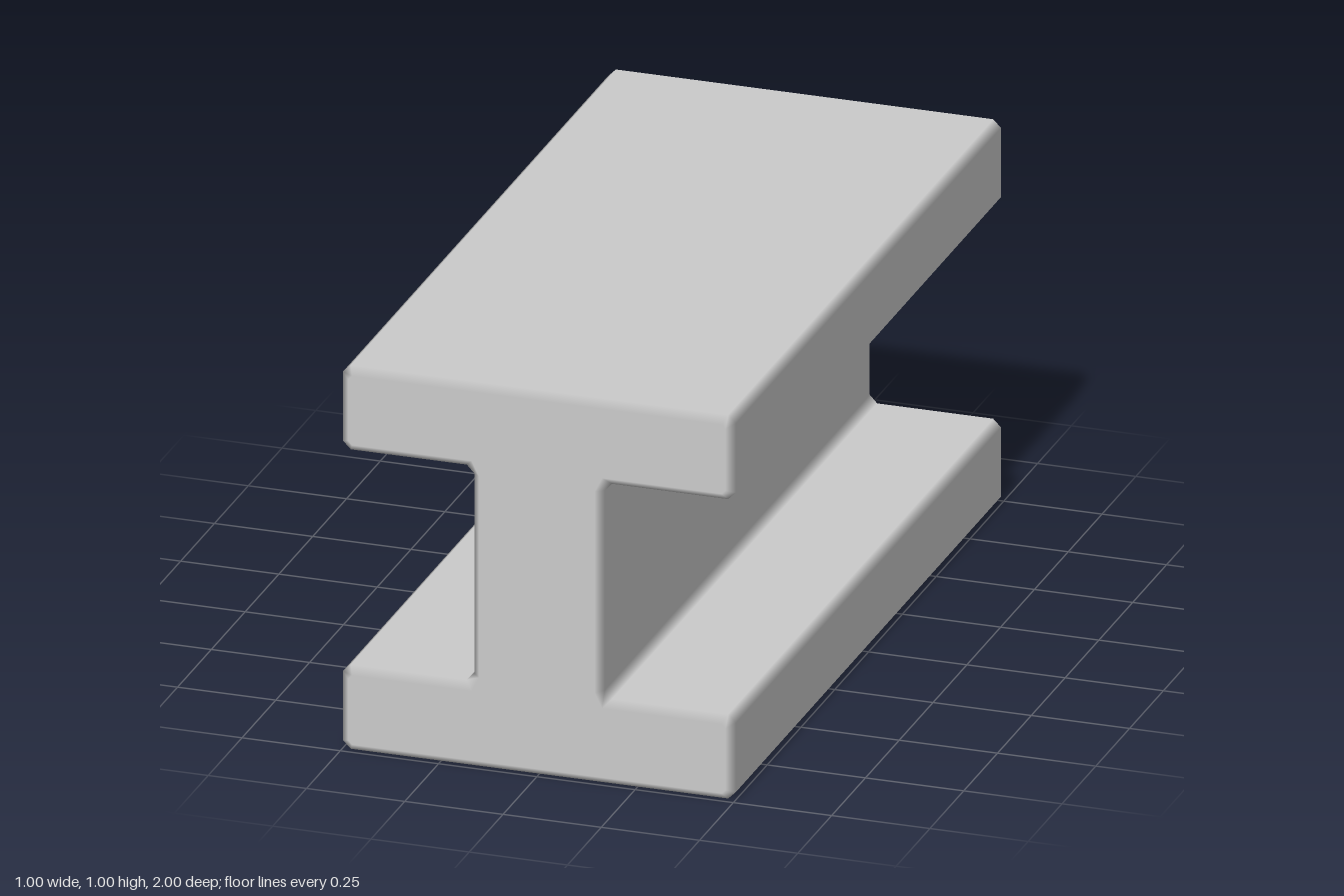
import * as THREE from 'three';

// Upper right quarter of the I profile, from the top edge round to the web:
// outline point, its point on the bevelled end face, normal of its flat side
const QUARTER = [
  { out: [0.48, 1.0], end: [0.47, 0.98], n: [0, 1] },
  { out: [0.5, 0.98], end: [0.48, 0.97], n: [1, 0] },
  { out: [0.5, 0.8], end: [0.48, 0.81], n: [1, 0] },
  { out: [0.48, 0.78], end: [0.47, 0.8], n: [0, -1] },
  { out: [0.185, 0.78], end: [0.166, 0.8], n: [0, -1] },
  { out: [0.166, 0.76], end: [0.147, 0.762], n: [1, 0] },
];

const flipY = ({ out, end, n }) => ({ out: [out[0], 1 - out[1]], end: [end[0], 1 - end[1]], n: [n[0], -n[1]] });
const flipX = ({ out, end, n }) => ({ out: [-out[0], out[1]], end: [-end[0], end[1]], n: [-n[0], n[1]] });

function beamGeometry(halfLength, bevel) {
  // Mirror the quarter into a closed counter-clockwise profile
  const right = [...QUARTER.map(flipY), ...[...QUARTER].reverse()];
  const profile = [...right, ...[...right].reverse().map(flipX)];
  const count = profile.length;
  const positions = [], normals = [], index = [];

  // Four rings: front face, front of sides, back of sides, back face
  const rings = [
    { z: halfLength, cap: 1 },
    { z: halfLength - bevel, cap: 0 },
    { z: bevel - halfLength, cap: 0 },
    { z: -halfLength, cap: -1 },
  ];
  for (const { z, cap } of rings) {
    for (const { out, end, n } of profile) {
      positions.push(...(cap ? end : out), z);
      normals.push(...(cap ? [0, 0, cap] : [...n, 0]));
    }
  }

  // Sides and end bevels; bevels blend between the flat faces' normals
  for (let r = 0; r < rings.length - 1; r++) {
    for (let i = 0; i < count; i++) {
      const j = (i + 1) % count;
      const a = r * count + i, b = a + count;
      const d = r * count + j, c = d + count;
      index.push(a, b, c, a, c, d);
    }
  }

  // End faces
  const contour = profile.map(({ end }) => new THREE.Vector2(...end));
  const back = (rings.length - 1) * count;
  for (const [a, b, c] of THREE.ShapeUtils.triangulateShape(contour, [])) {
    index.push(a, b, c, back + a, back + c, back + b);
  }

  const geometry = new THREE.BufferGeometry();
  geometry.setAttribute('position', new THREE.Float32BufferAttribute(positions, 3));
  geometry.setAttribute('normal', new THREE.Float32BufferAttribute(normals, 3));
  geometry.setIndex(index);
  return geometry;
}

export function createModel() {
  const group = new THREE.Group();
  group.name = 'steelBeam';
  const beam = new THREE.Mesh(
    beamGeometry(1, 0.02),
    new THREE.MeshStandardMaterial({ color: 0xcccccc })
  );
  beam.name = 'beam';
  group.add(beam);
  return group;
}
